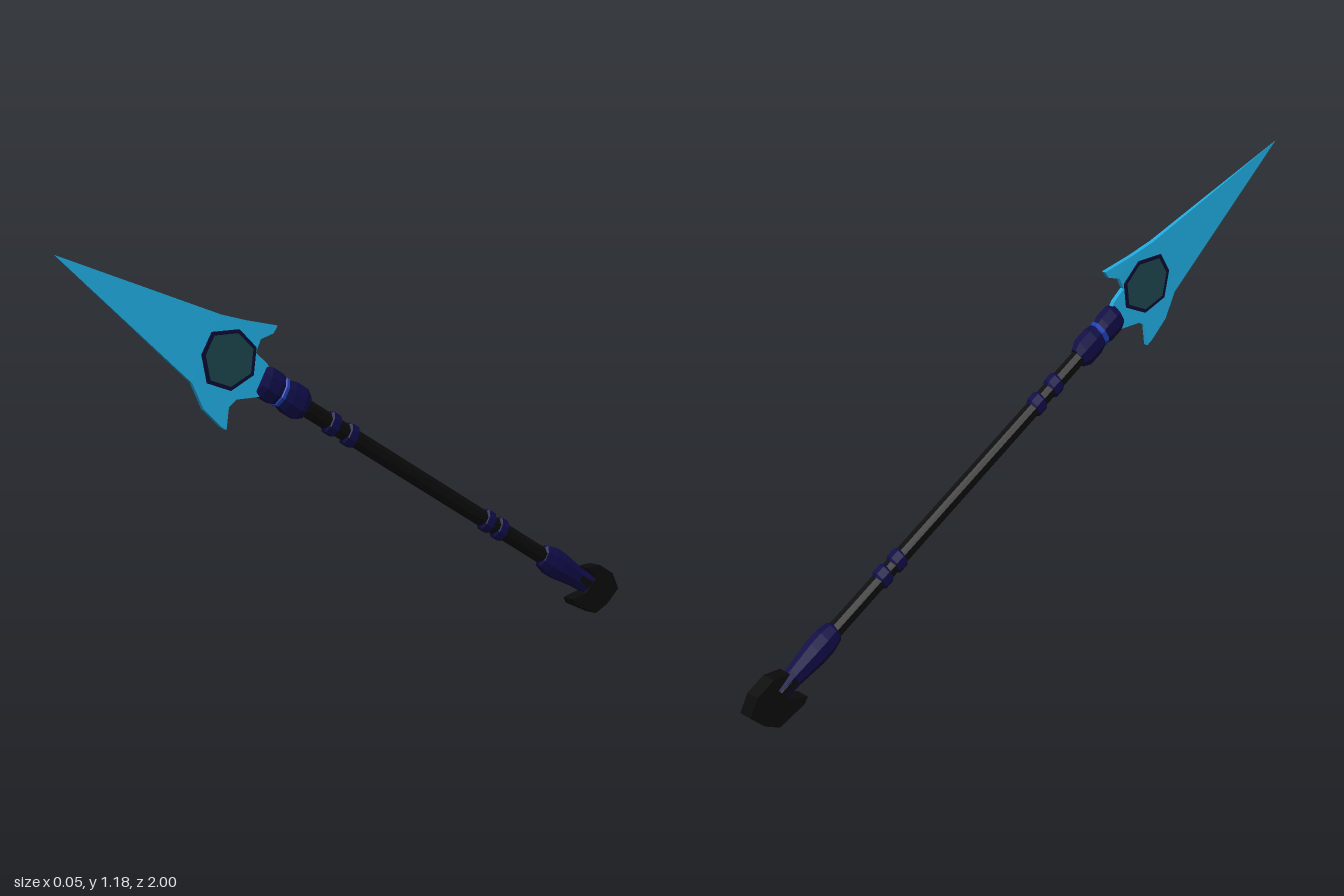
import * as THREE from 'three';

const mat = (color) => new THREE.MeshStandardMaterial({ color, flatShading: true });
const BLACK = mat(0x0b0b0b), NAVY = mat(0x0f0c46), BLUE = mat(0x1d3fb0);
const CYAN = mat(0x1faadf), RIM = mat(0x0a0a30), TEAL = mat(0x1b444c);

// Side profile given as [z, y] points, extruded symmetrically across x.
function slab(name, points, half, material) {
  const shape = new THREE.Shape(points.map(([z, y]) => new THREE.Vector2(z, y)));
  const geo = new THREE.ExtrudeGeometry(shape, { depth: 2 * half, bevelEnabled: false });
  geo.translate(0, 0, -half);
  geo.rotateY(-Math.PI / 2);
  const mesh = new THREE.Mesh(geo, material);
  mesh.name = name;
  return mesh;
}

// Eight-sided turned part along z: profile of [radius, position], flattened in x.
function turned(name, profile, flat, material) {
  const pts = profile.map(([r, s]) => new THREE.Vector2(r / Math.cos(Math.PI / 8), s));
  const geo = new THREE.LatheGeometry(pts, 8, Math.PI / 8);
  geo.rotateX(Math.PI / 2);
  geo.scale(flat, 1, 1);
  const mesh = new THREE.Mesh(geo, material);
  mesh.name = name;
  return mesh;
}

export function createModel() {
  const model = new THREE.Group();
  model.name = 'spear';

  // Blade with swept barbs, thinning to a point
  const blade = slab('blade', [
    [1, 1.185], [0.486, 1.0], [0.4, 0.978], [0.298, 0.957], [0.312, 0.937], [0.355, 0.925],
    [0.372, 0.89], [0.335, 0.86], [0.3, 0.8], [0.33, 0.768], [0.368, 0.772], [0.437, 0.772],
    [0.463, 0.755], [0.472, 0.694], [0.49, 0.705], [0.545, 0.755], [0.582, 0.828],
  ], 0.0065, CYAN);
  const p = blade.geometry.attributes.position;
  for (let i = 0; i < p.count; i++) {
    const taper = THREE.MathUtils.clamp((1 - p.getZ(i)) / 0.5, 0.04, 1);
    p.setX(i, p.getX(i) * taper);
  }
  blade.geometry.computeVertexNormals();
  model.add(blade);

  // Faceted gem in a dark rim, showing on both faces
  const gem = [[0.518, 0.957], [0.428, 0.957], [0.372, 0.905], [0.382, 0.832],
    [0.458, 0.797], [0.535, 0.824], [0.552, 0.9]];
  const inset = gem.map(([z, y]) => [0.46 + (z - 0.46) * 0.87, 0.88 + (y - 0.88) * 0.87]);
  model.add(slab('gemRim', gem, 0.0095, RIM), slab('gem', inset, 0.0105, TEAL));

  // Hooked pommel
  model.add(slab('pommel', [
    [-0.865, 0.145], [-0.92, 0.147], [-0.975, 0.115], [-1, 0.065], [-0.955, 0.025],
    [-0.905, 0.002], [-0.82, 0.04], [-0.81, 0.058], [-0.865, 0.07], [-0.905, 0.11],
  ], 0.021, BLACK));

  // Shaft and fittings lie on one tilted axis
  const pole = new THREE.Group();
  pole.name = 'pole';
  pole.position.y = 0.611;
  pole.rotation.x = -0.53;
  model.add(pole);

  pole.add(turned('shaft', [[0, -1.04], [0.023, -1.04], [0.023, 0.38], [0, 0.38]], 0.83, BLACK));

  // Paired grip rings
  for (const s of [0.124, 0.05, -0.549, -0.608]) {
    pole.add(turned('gripRing', [[0.022, s - 0.024], [0.031, s - 0.014], [0.031, s + 0.014],
      [0.022, s + 0.024]], 0.68, NAVY));
  }

  // Collar below the blade, with a bright band at its waist
  pole.add(turned('collar', [[0, 0.232], [0.032, 0.232], [0.045, 0.255], [0.045, 0.3],
    [0.038, 0.325], [0.038, 0.335], [0.044, 0.352], [0.044, 0.392], [0.036, 0.41], [0, 0.41]], 0.56, NAVY));
  pole.add(turned('collarBand', [[0.037, 0.322], [0.0405, 0.325], [0.0405, 0.335],
    [0.037, 0.338]], 0.62, BLUE));

  // Tapered sleeve above the pommel
  pole.add(turned('sleeve', [[0, -1.04], [0.028, -1.04], [0.031, -0.97], [0.041, -0.885],
    [0.041, -0.845], [0.033, -0.81], [0.023, -0.8]], 0.62, NAVY));

  return model;
}
